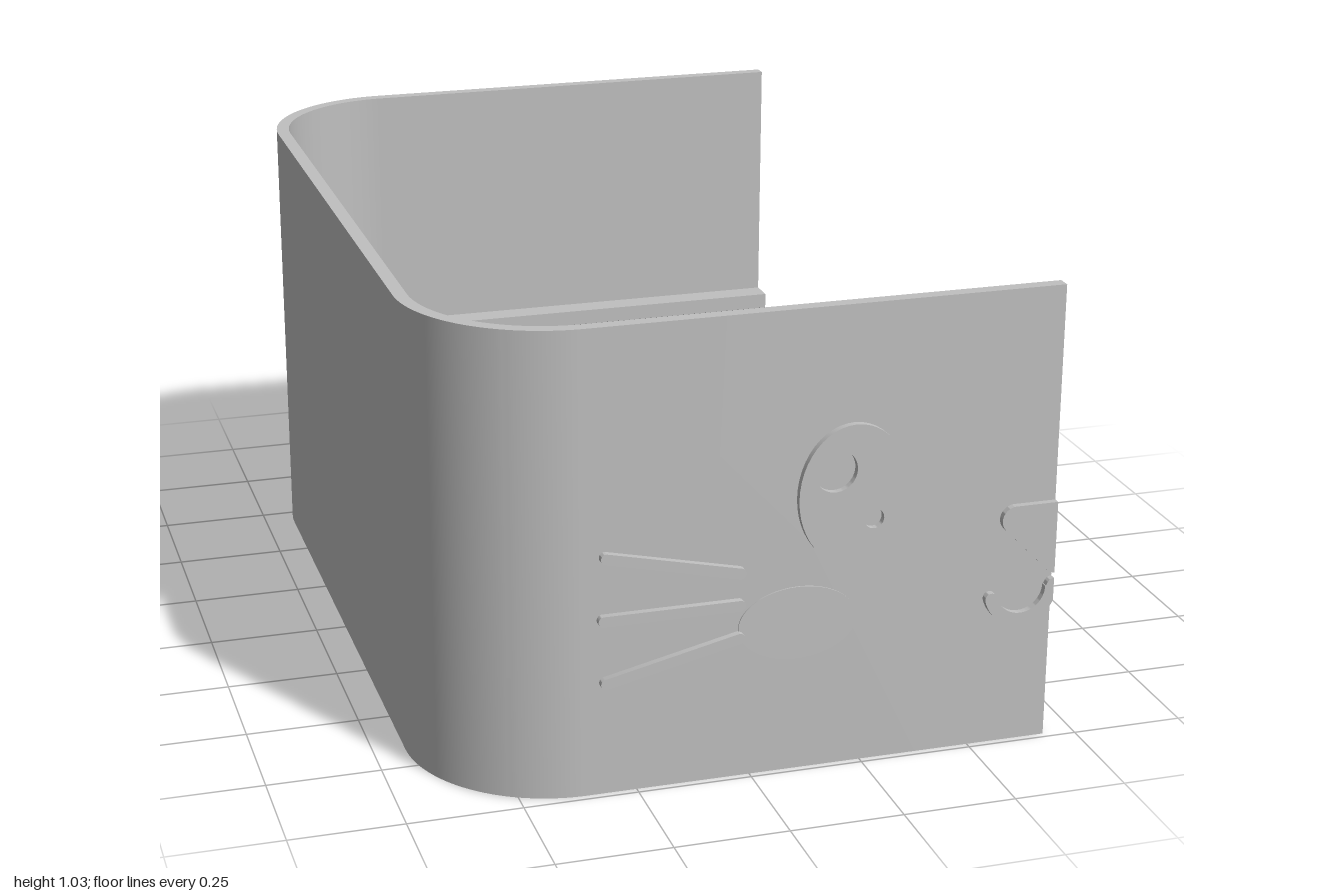
import * as THREE from 'three';
import { toCreasedNormals } from 'three/addons/utils/BufferGeometryUtils.js';

const X = 0.68, H = 1.035, T = 0.03, R = 0.32; // half width, height, wall, corner radius
const FRONT = 0.985, BACK = -1, HOLE_DEPTH = 0.06, XE = X - HOLE_DEPTH;

export function createModel() {
  const group = new THREE.Group();
  const grey = new THREE.MeshStandardMaterial({ color: 0xc0c0c0 });
  grey.name = 'grey';

  const add = (name, geometry) => {
    const mesh = new THREE.Mesh(geometry, grey);
    mesh.name = name;
    group.add(mesh);
    return mesh;
  };
  const extrude = (shape, depth) => toCreasedNormals(
    new THREE.ExtrudeGeometry(shape, { depth, bevelEnabled: false, curveSegments: 24 }), 0.5);
  const polygon = (pts) => new THREE.Shape(pts.map(([x, y]) => new THREE.Vector2(x, y)));
  const circle = (x, y, r) => new THREE.Path().absarc(x, y, r, 0, Math.PI * 2, true);

  // C-shaped wall, drawn in plan (shape y = -z) and raised
  const f = -FRONT, b = -BACK, P = Math.PI;
  const wall = new THREE.Shape();
  wall.moveTo(XE, f);
  wall.lineTo(XE, f + T);
  wall.lineTo(-X + R, f + T);
  wall.absarc(-X + R, f + R, R - T, -P / 2, -P, true);
  wall.lineTo(-X + T, b - R);
  wall.absarc(-X + R, b - R, R - T, P, P / 2, true);
  wall.lineTo(XE, b - T);
  wall.lineTo(XE, b);
  wall.lineTo(-X + R, b);
  wall.absarc(-X + R, b - R, R, P / 2, P, false);
  wall.lineTo(-X, f + R);
  wall.absarc(-X + R, f + R, R, P, P * 1.5, false);
  add('wall', extrude(wall, H).rotateX(-P / 2));

  // Sections extruded along x, with the section drawn as (-z, y)
  const alongX = (name, shape) => add(name, extrude(shape, HOLE_DEPTH).rotateY(P / 2).translate(XE, 0, 0));

  // Rail with a flat top and sloped underside, its rear edge following the corner
  const railGeometry = (outer, s) => {
    const cz = Math.abs(outer) - R, lip = Math.abs(outer) - 0.092, mid = R - T / 2;
    const xs = [-0.545, -0.52, -0.49, -0.46, -0.42, -X + R, XE];
    const rings = xs.map((x) => {
      const dx = Math.min(0, x + X - R);
      const w = Math.max(lip + 0.005, cz + Math.sqrt(mid * mid - dx * dx));
      const low = 0.39 - (w - lip) * 0.95;
      return [[w, 0.428], [lip, 0.428], [lip, 0.39], [w, low]].map(([z, y]) => [x, y, z * s]);
    });
    const pos = [];
    const quad = (a, b2, c, d) => {
      const list = s > 0 ? [a, b2, c, a, c, d] : [a, c, b2, a, d, c];
      list.forEach((p) => pos.push(...p));
    };
    for (let i = 0; i < rings.length - 1; i++) {
      for (let k = 0; k < 4; k++) {
        const n = (k + 1) % 4;
        quad(rings[i][k], rings[i + 1][k], rings[i + 1][n], rings[i][n]);
      }
    }
    const e = rings[rings.length - 1], st = rings[0];
    quad(e[0], e[3], e[2], e[1]);
    quad(st[0], st[1], st[2], st[3]);
    const g = new THREE.BufferGeometry();
    g.setAttribute('position', new THREE.Float32BufferAttribute(pos, 3));
    // face the quads outward
    for (let i = 0; i < pos.length; i += 9) {
      for (let j = 0; j < 3; j++) {
        const t = pos[i + 3 + j];
        pos[i + 3 + j] = pos[i + 6 + j];
        pos[i + 6 + j] = t;
      }
    }
    g.setAttribute('position', new THREE.Float32BufferAttribute(orient(pos), 3));
    g.computeVertexNormals();
    return g;
  };
  // Turn each triangle of a convex-section solid away from its middle
  const orient = (pos) => {
    const c = new THREE.Vector3();
    const box = new THREE.Box3().setFromArray(pos);
    box.getCenter(c);
    const tri = new THREE.Triangle(), n = new THREE.Vector3(), m = new THREE.Vector3();
    for (let i = 0; i < pos.length; i += 9) {
      tri.a.fromArray(pos, i); tri.b.fromArray(pos, i + 3); tri.c.fromArray(pos, i + 6);
      if (tri.getNormal(n).dot(tri.getMidpoint(m).sub(c)) < 0) {
        tri.c.toArray(pos, i + 3);
        tri.b.toArray(pos, i + 6);
      }
    }
    return pos;
  };

  // Wall ends with pin holes, and the two inner rails
  [['front', FRONT, 1], ['back', BACK, -1]].forEach(([side, outer, s]) => {
    const u = (d) => -(outer - s * d); // section coordinate at depth d inside the wall
    const end = polygon([[u(0), 0], [u(T), 0], [u(T), H], [u(0), H]]);
    [0.17, 0.46, 0.83, 0.94].forEach((y) => end.holes.push(circle(u(T / 2), y, 0.009)));
    alongX(side + 'WallEnd', end);

    add(side + 'Rail', railGeometry(outer, s));
    const tip = polygon([[u(T), 0.428], [u(0.092), 0.428], [u(0.092), 0.39], [u(T), 0.331]]);
    tip.holes.push(circle(u(0.062), 0.407, 0.01));
    alongX(side + 'RailEnd', tip);
  });

  // Raised face relief on the front
  const relief = (name, shape, height = 0.015) =>
    add(name, extrude(shape, height + 0.003).translate(0, 0, FRONT - 0.003));
  const ellipse = (x, y, rx, ry) => new THREE.Shape().absellipse(x, y, rx, ry, 0, P * 2);

  const eye = ellipse(0.217, 0.622, 0.122, 0.156);
  eye.holes.push(circle(0.175, 0.679, 0.047), circle(0.262, 0.564, 0.022));
  relief('eye', eye);
  relief('cheek', ellipse(0.101, 0.341, 0.131, 0.082), 0.003);

  // Whiskers as round-ended bars
  [[-0.32, 0.539, -0.03, 0.473], [-0.325, 0.4, -0.03, 0.4], [-0.32, 0.258, -0.03, 0.325]]
    .forEach(([x1, y1, x2, y2]) => {
      const a = Math.atan2(y2 - y1, x2 - x1), r = 0.012;
      const bar = new THREE.Shape();
      bar.absarc(x2, y2, r, a - P / 2, a + P / 2, false);
      bar.absarc(x1, y1, r, a + P / 2, a + P * 1.5, false);
      relief('whisker', bar);
    });

  // Half nose, cut off at the wall end
  const nose = new THREE.Shape();
  nose.moveTo(X, 0.554);
  nose.lineTo(0.585, 0.554);
  nose.absarc(0.585, 0.523, 0.031, P / 2, P * 1.25, false);
  nose.lineTo(0.665, 0.397);
  nose.quadraticCurveTo(0.672, 0.391, X, 0.391);
  relief('nose', nose);

  // Hooked mouth line, cut off at the wall end
  const mouth = new THREE.Shape();
  const mx = 0.604, my = 0.362, startA = P * 1.08;
  mouth.absarc(mx, my, 0.084, startA, P * 2 - 0.44, false);
  mouth.lineTo(X, 0.378);
  mouth.quadraticCurveTo(0.667, 0.378, 0.662, my);
  mouth.absarc(mx, my, 0.056, 0, startA, true);
  mouth.absarc(mx + 0.07 * Math.cos(startA), my + 0.07 * Math.sin(startA), 0.014, startA - P, startA, false);
  relief('mouth', mouth);

  return group;
}
